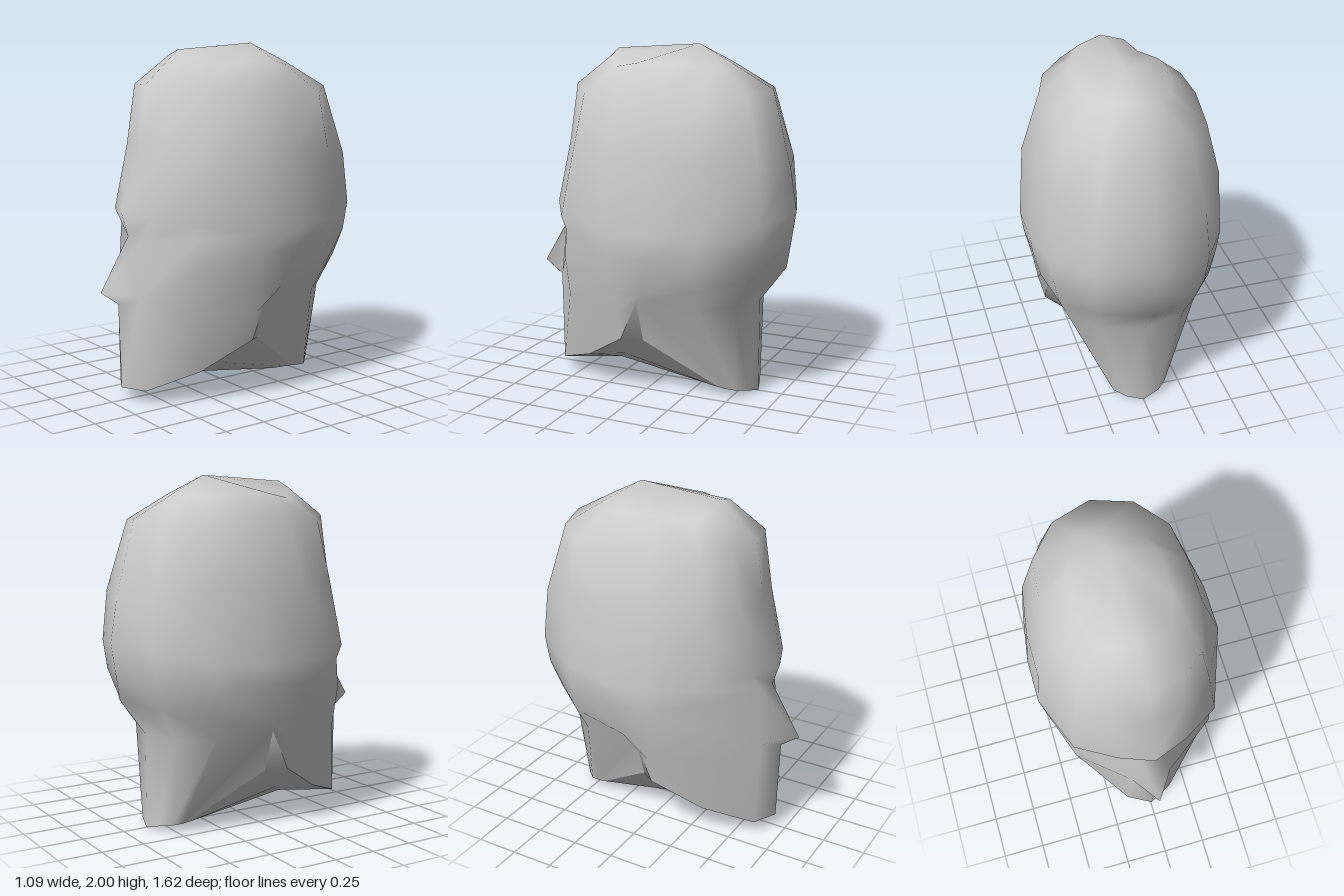
import * as THREE from 'three';
import { mergeVertices } from 'three/addons/utils/BufferGeometryUtils.js';

// Half cross-sections: points [x, y, z] from the front centre, around the left side, to the back centre.

// neck and jaw
const neckBase = [[0, .02, -.31], [.1, .03, -.33], [.15, .045, -.38], [.17, .05, -.42],
  [.17, .045, -.46], [.16, .04, -.52], [.1, .03, -.58], [0, 0, -.605]];
const mouth = [[0, .56, .7], [.12, .6, .63], [.36, .56, .44], [.465, .52, .08],
  [.425, .58, -.02], [.4, .57, -.37], [.25, .56, -.54], [0, .55, -.605]];
const back = mouth.slice(4); // jaw corner and nape, shared by the jaw rings
const throat = [[0, .1, .27], [.08, .11, .25], [.2, .18, .17], [.34, .33, -.02], ...back];
const jawLine = [[0, .075, .685], [.14, .075, .61], [.3, .18, .35], [.425, .35, .08], ...back];

// face
const noseTip = [[0, .64, .81], [.12, .6, .63], [.41, .78, .44], [.485, .65, .1],
  [.48, .65, -.08], [.45, .7, -.41], [.28, .74, -.64], [0, .76, -.76]];
const eyes = [[0, .94, .63], [.06, .92, .58], [.4, .95, .435], [.53, .86, .12],
  [.53, .86, -.13], [.48, .86, -.42], [.31, .89, -.69], [0, .92, -.785]];
const brow = [[0, 1.07, .67], [.2, 1.07, .595], [.42, 1.03, .455], [.545, .98, .12],
  [.545, .98, -.14], [.5, 1, -.42], [.325, 1.06, -.71], [0, 1.09, -.81]];

// skull
const forehead = [[0, 1.43, .55], [.2, 1.43, .51], [.38, 1.42, .39], [.515, 1.41, .12],
  [.515, 1.41, -.14], [.47, 1.4, -.42], [.3, 1.35, -.69], [0, 1.33, -.77]];
const hairline = [[0, 1.775, .505], [.2, 1.77, .455], [.33, 1.74, .34], [.41, 1.77, .08],
  [.41, 1.77, -.17], [.385, 1.72, -.42], [.23, 1.75, -.59], [0, 1.76, -.66]];
const crownRim = [[0, 1.965, .29], [.13, 1.93, .27], [.2, 1.87, .22], [.255, 1.9, .05],
  [.255, 1.9, -.2], [.21, 1.88, -.31], [.12, 1.89, -.39], [0, 1.9, -.41]];
const crown = Array(8).fill([0, 2, -.22]);

// Joins half rings, bottom to top, between two columns and mirrors them across x = 0.
// Patches in one surface are smoothed together.
function loft(patches) {
  const pos = [];
  const equal = (p, q) => p.every((v, k) => v === q[k]);
  const tri = (a, b, c) => {
    if (equal(a, b) || equal(b, c) || equal(a, c)) return;
    pos.push(...a, ...b, ...c);
    for (const [x, y, z] of [a, c, b]) pos.push(-x, y, z);
  };
  for (const { rings, from, to } of patches) {
    for (let i = 0; i < rings.length - 1; i++) {
      for (let j = from; j < to; j++) {
        const a = rings[i][j], b = rings[i][j + 1];
        const d = rings[i + 1][j], c = rings[i + 1][j + 1];
        tri(a, b, c);
        tri(a, c, d);
      }
    }
  }
  const soup = new THREE.BufferGeometry();
  soup.setAttribute('position', new THREE.Float32BufferAttribute(pos, 3));
  const g = mergeVertices(soup);
  g.computeVertexNormals();
  return g;
}

export function createModel() {
  const group = new THREE.Group();
  group.name = 'head';
  // the neck is open at the bottom
  const material = new THREE.MeshStandardMaterial({ color: 0xcccccc, side: THREE.DoubleSide });
  const add = (name, patches) => {
    const mesh = new THREE.Mesh(loft(patches), material);
    mesh.name = name;
    group.add(mesh);
  };
  // skull, face and nape
  add('skullAndNape', [
    { rings: [jawLine, mouth, noseTip, eyes, brow, forehead, hairline, crownRim, crown], from: 0, to: 7 },
    { rings: [neckBase, throat], from: 3, to: 7 },
  ]);
  // underside of the jaw and front of the neck, meeting the jaw at a sharp edge
  add('jawUndersideAndThroat', [
    { rings: [throat, jawLine], from: 0, to: 4 },
    { rings: [neckBase, throat], from: 0, to: 3 },
  ]);
  return group;
}
